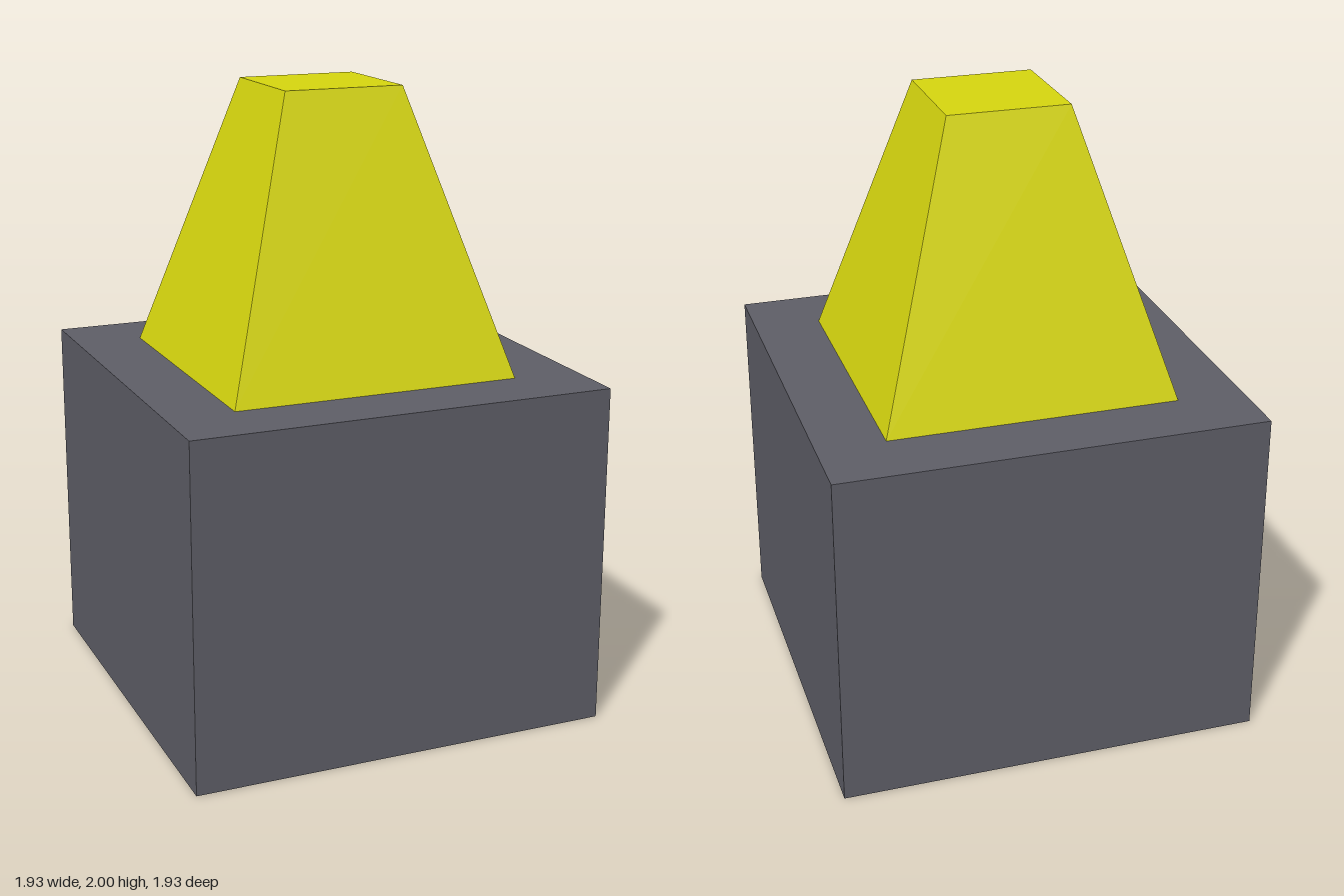
import * as THREE from 'three';

const darkGrey = new THREE.MeshStandardMaterial({ name: 'dark grey', color: 0x5f5f68 });
const yellow = new THREE.MeshStandardMaterial({ name: 'yellow', color: 0xd8d80f });

// Four-sided block with its corners on the x and z axes
function block(name, topRadius, bottomRadius, y0, y1, material) {
  const geometry = new THREE.CylinderGeometry(topRadius, bottomRadius, y1 - y0, 4).toNonIndexed();
  geometry.computeVertexNormals();
  const mesh = new THREE.Mesh(geometry, material);
  mesh.name = name;
  mesh.position.y = (y0 + y1) / 2;
  return mesh;
}

export function createModel() {
  const group = new THREE.Group();
  group.name = 'pedestalWithTaperedTop';
  // Square base
  group.add(block('base', 0.965, 0.965, 0, 1.105, darkGrey));
  // Tapered top
  group.add(block('taperedTop', 0.275, 0.66, 1.105, 2, yellow));
  return group;
}
